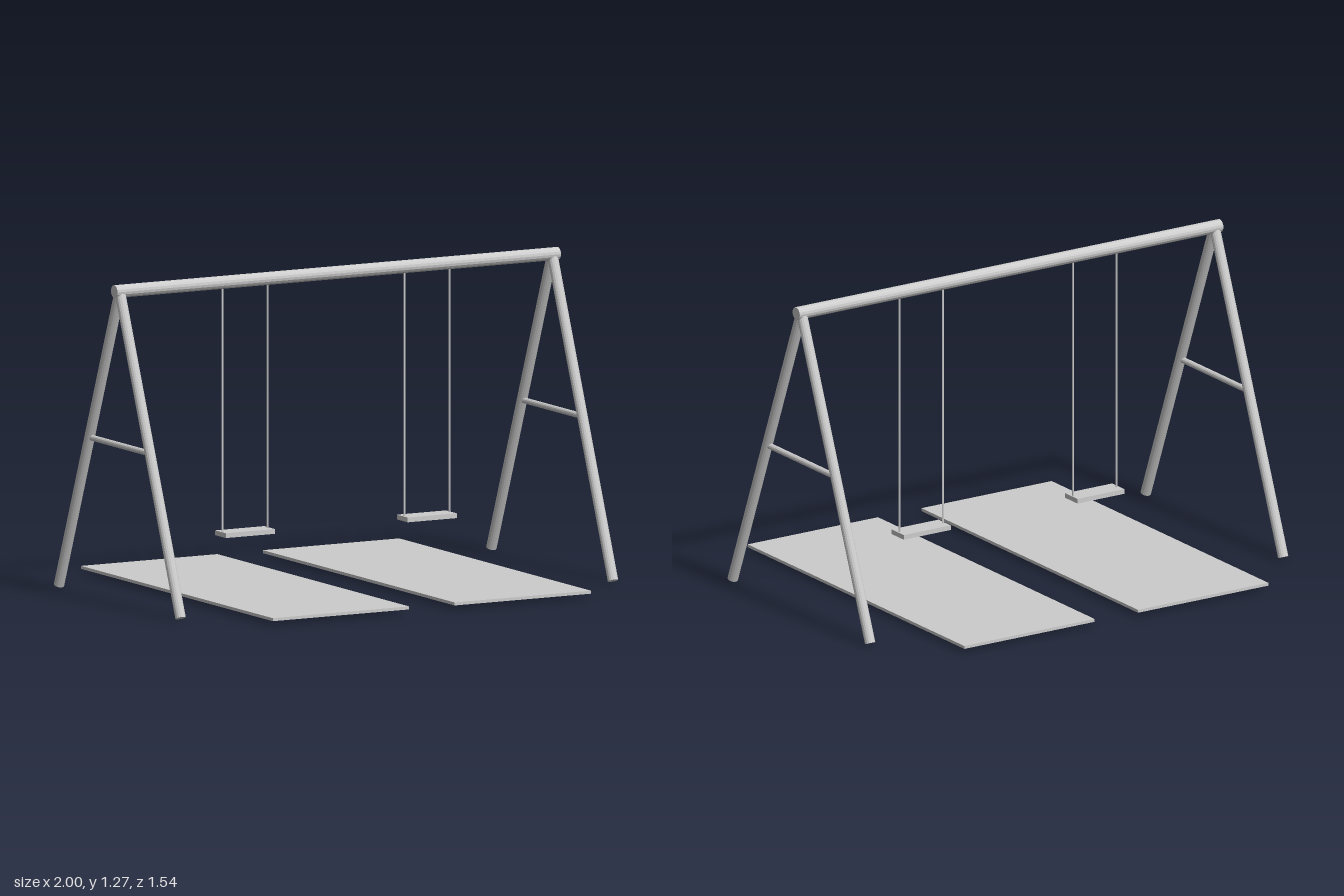
import * as THREE from 'three';

export function createModel() {
  const model = new THREE.Group();
  model.name = 'swingSet';
  const grey = new THREE.MeshStandardMaterial({ color: 0xcccccc, flatShading: true });
  grey.name = 'light grey';

  const add = (name, geometry) => {
    const mesh = new THREE.Mesh(geometry, grey);
    mesh.name = name;
    model.add(mesh);
    return mesh;
  };

  // Round bar between two points
  const bar = (name, from, to, radius, sides) => {
    const a = new THREE.Vector3(...from), b = new THREE.Vector3(...to);
    const dir = b.clone().sub(a);
    const mesh = add(name, new THREE.CylinderGeometry(radius, radius, dir.length(), sides));
    mesh.position.copy(a).add(b).multiplyScalar(0.5);
    mesh.quaternion.setFromUnitVectors(new THREE.Vector3(0, 1, 0), dir.normalize());
  };

  const box = (name, w, h, d, x, y, z) =>
    add(name, new THREE.BoxGeometry(w, h, d)).position.set(x, y, z);

  const beamY = 1.242;
  bar('topBeam', [-1, beamY, 0], [1, beamY, 0], 0.026, 16);

  for (const [side, s] of [['left', 1], ['right', -1]]) {
    // A-frame at each end
    const x = s * 0.975;
    bar(side + 'FrontLeg', [x, 0.008, 0.487], [x, beamY, 0], 0.021, 16);
    bar(side + 'BackLeg', [x, 0.008, -0.487], [x, beamY, 0], 0.021, 16);
    bar(side + 'CrossBar', [x, 0.629, -0.24], [x, 0.629, 0.24], 0.012, 12);

    // Swing hung from the beam, with a mat below
    const c = s * 0.41;
    box(side + 'Seat', 0.222, 0.019, 0.087, c, 0.241, 0);
    for (const r of [-1, 1]) {
      const rx = c + r * 0.102;
      bar(side + 'SwingRope', [rx, 0.245, 0], [rx, beamY, 0], 0.004, 8);
    }
    box(side + 'Mat', 0.615, 0.012, 1.536, c, 0.02, 0);
  }
  return model;
}
